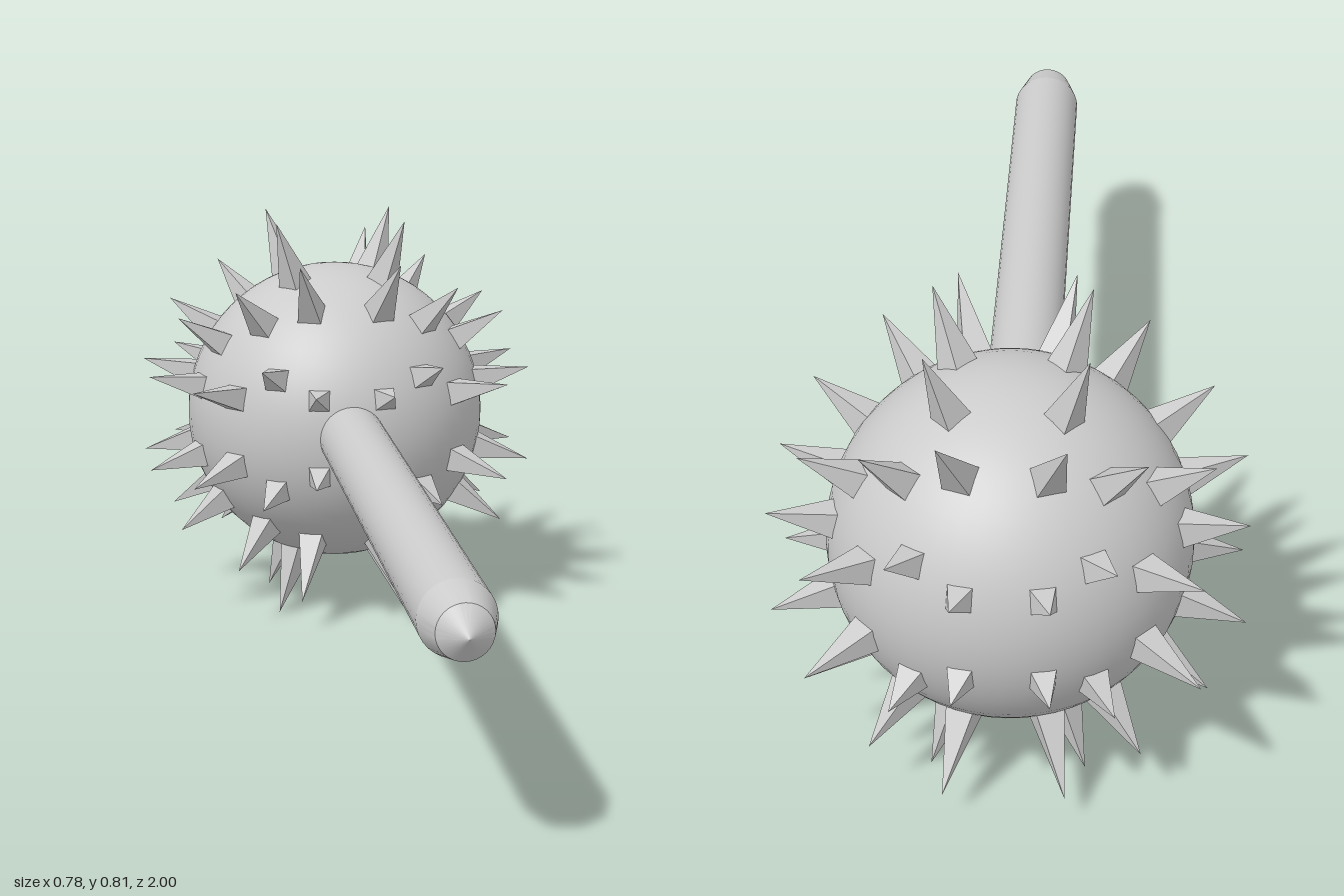
import * as THREE from 'three';
import { toCreasedNormals } from 'three/addons/utils/BufferGeometryUtils.js';

const HEAD_RADIUS = 0.304;

// Spike tips in one octant, relative to the centre of the head
const SPIKE_TIPS = [
  [0.13, 0.405, 0.11],
  [0.1, 0.34, 0.265],
  [0.223, 0.285, 0.215],
  [0.331, 0.22, 0.12],
  [0.39, 0.097, 0.1],
  [0.315, 0.097, 0.275],
  [0.18, 0.14, 0.3],
  [0.078, 0.092, 0.34],
];

export function createModel() {
  const model = new THREE.Group();
  model.name = 'spikedMace';
  const smooth = new THREE.MeshStandardMaterial({ color: 0xcccccc });
  const faceted = new THREE.MeshStandardMaterial({ color: 0xcccccc, flatShading: true });

  // Straight handle with a bevelled, pointed end
  const profile = [[0, -0.45], [0.065, -0.45], [0.065, 0.885], [0.047, 0.96], [0, 1]]
    .map(([r, z]) => new THREE.Vector2(r, z));
  const handleGeometry = toCreasedNormals(new THREE.LatheGeometry(profile, 32).rotateX(Math.PI / 2), 0.2);
  const handle = new THREE.Mesh(handleGeometry, smooth);
  handle.name = 'handle';
  handle.position.y = 0.41;
  model.add(handle);

  // Round head
  const head = new THREE.Group();
  head.name = 'head';
  head.position.set(0, 0.41, -0.66);
  const ball = new THREE.Mesh(new THREE.SphereGeometry(HEAD_RADIUS, 48, 32), smooth);
  ball.name = 'ball';
  head.add(ball);
  model.add(head);

  // Four-sided spikes, mirrored into all eight octants
  const pyramid = new THREE.ConeGeometry(0.038, 1, 4, 1, true)
    .rotateY(Math.PI / 4).translate(0, 0.5, 0).rotateX(Math.PI / 2);
  for (const [x, y, z] of SPIKE_TIPS) {
    for (let i = 0; i < 8; i++) {
      const tip = new THREE.Vector3(i & 1 ? -x : x, i & 2 ? -y : y, i & 4 ? -z : z);
      const spike = new THREE.Mesh(pyramid, faceted);
      spike.name = 'spike';
      spike.position.copy(tip).setLength(HEAD_RADIUS - 0.02);
      spike.lookAt(tip);
      spike.scale.z = tip.length() - spike.position.length();
      head.add(spike);
    }
  }
  return model;
}
